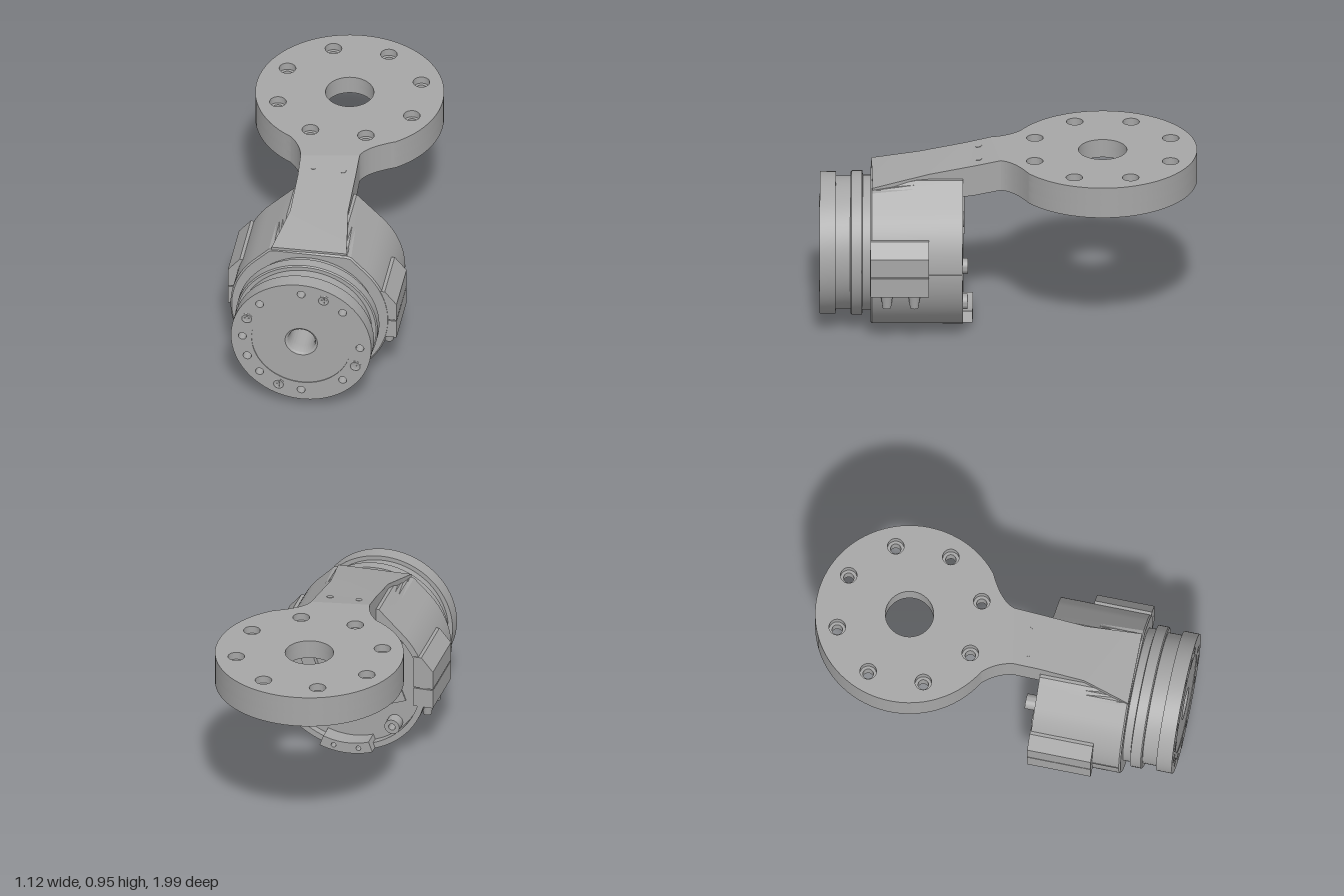
import * as THREE from 'three';
import { toCreasedNormals } from 'three/addons/utils/BufferGeometryUtils.js';

const rad = THREE.MathUtils.degToRad;
const crease = (g) => toCreasedNormals(g, 0.5);

// Joins closed rings of [x, y, z] points, each ring counter-clockwise seen from +z
function skin(rings) {
  const pos = [], n = rings[0].length;
  for (let r = 0; r < rings.length - 1; r++) {
    for (let i = 0; i < n; i++) {
      const j = (i + 1) % n, a = rings[r], b = rings[r + 1];
      pos.push(...a[i], ...b[i], ...b[j], ...a[i], ...b[j], ...a[j]);
    }
  }
  const g = new THREE.BufferGeometry();
  g.setAttribute('position', new THREE.Float32BufferAttribute(pos, 3));
  return crease(g);
}

// Lathe turned so its axis is z; points are [radius, z]
function turned(points, segs = 72) {
  const g = new THREE.LatheGeometry(points.map(([r, z]) => new THREE.Vector2(r, z)), segs);
  return crease(g.rotateX(Math.PI / 2));
}

const circle = (x, y, r) => new THREE.Path().absarc(x, y, r, 0, Math.PI * 2, false);

function extrude(shape, depth, curveSegments = 32) {
  return crease(new THREE.ExtrudeGeometry(shape, { depth, bevelEnabled: false, curveSegments }));
}

export function createModel() {
  const metal = new THREE.MeshStandardMaterial({ color: 0xa6a6a6 });
  metal.name = 'grey metal';
  const model = new THREE.Group();
  model.name = 'actuatorWithArm';

  const add = (parent, name, geometry, x = 0, y = 0, z = 0) => {
    const m = new THREE.Mesh(geometry, metal);
    m.name = name;
    m.position.set(x, y, z);
    parent.add(m);
    return m;
  };

  // ---- Mounting disc: stacked plates with counterbored holes and a hollow underside
  const cx = 0.07, cz = -0.513, R = 0.488;
  const discOutline = () => {
    const s = new THREE.Shape();
    const at = (deg) => [cx + R * Math.cos(rad(deg)), cz + R * Math.sin(rad(deg))];
    s.moveTo(0.12, 0.03);
    s.quadraticCurveTo(0.15, -0.04, ...at(61));
    s.absarc(cx, cz, R, rad(61), rad(129), true);
    s.quadraticCurveTo(-0.185, -0.06, -0.185, 0.03);
    s.closePath();
    return s;
  };
  const discLayer = (name, top, depth, centre, bolt) => {
    const s = discOutline();
    s.holes.push(circle(cx, cz, centre));
    if (bolt) {
      for (let i = 0; i < 8; i++) {
        const a = rad(-12.6 + 45 * i);
        s.holes.push(circle(cx + 0.38 * Math.cos(a), cz + 0.38 * Math.sin(a), bolt));
      }
    }
    add(model, name, extrude(s, depth).rotateX(Math.PI / 2), 0, top, 0);
  };
  discLayer('discTopPlate', 0.95, 0.04, 0.125, 0.043);
  discLayer('discLowerPlate', 0.91, 0.06, 0.125, 0.027);
  discLayer('discRim', 0.85, 0.068, 0.448, 0);

  // ---- Sloping arm from the housing up to the disc
  const section = (xl, zl, xr, zr, top, bottom) =>
    [[xr, bottom, zr], [xr, top, zr], [xl, top, zl], [xl, bottom, zl]];
  const arm = [
    section(-0.336, 0.63, 0.05, 0.69, 0.812, 0.72),
    section(-0.24, 0.4, 0.06, 0.4, 0.873, 0.72),
    section(-0.2, 0.16, 0.1, 0.16, 0.922, 0.755),
    section(-0.185, 0.03, 0.12, 0.03, 0.95, 0.782),
  ];
  const cap = (ring) => ring.map(() => [0, 1, 2].map((k) => ring.reduce((t, p) => t + p[k], 0) / 4));
  add(model, 'arm', skin([cap(arm[0]), ...arm, cap(arm[3])]));
  for (const [x, z] of [[-0.12, 0.105], [0.033, 0.13]]) {
    const pin = add(model, 'armPin', new THREE.CylinderGeometry(0.018, 0.018, 0.006, 20), x, 0.95 - 0.2 * (z - 0.02), z);
    pin.rotation.x = 0.2;
  }

  // ---- Actuator, in its own frame with the axis along z and the front face at z = 0
  const motor = new THREE.Group();
  motor.name = 'actuator';
  motor.position.set(-0.185, 0.42, 0.926);
  motor.rotation.y = rad(-10);
  model.add(motor);

  // Housing: round below, with a 45 degree roof above, cupped at the back
  const N = 120;
  const ring = (z, radius) => Array.from({ length: N }, (_, i) => {
    const a = (i / N) * Math.PI * 2, r = typeof radius === 'number' ? radius : radius(a);
    return [r * Math.cos(a), r * Math.sin(a), z];
  });
  const roof = (top, r0 = 0.417) => (a) => {
    const c = Math.abs(Math.cos(a)), s = Math.sin(a);
    return s > c - 1e-6 ? Math.min(r0 * Math.SQRT2 / (c + s), top / s) : r0;
  };
  add(motor, 'housing', skin([
    ring(-0.262, 0.3), ring(-0.262, roof(0.372, 0.409)), ring(-0.27, roof(0.38)),
    ring(-0.5, roof(0.425)), ring(-0.74, roof(0.43)), ring(-0.74, 0.385),
    ring(-0.7, 0.385), ring(-0.7, 0.066),
  ]));

  // Output flange with bolt holes around its edge
  const flange = new THREE.Shape().absarc(0, 0, 0.368, 0, Math.PI * 2, false);
  flange.holes.push(circle(0, 0, 0.26));
  const polar = (deg, r) => [r * Math.cos(rad(deg)), r * Math.sin(rad(deg))];
  for (let i = 0; i < 8; i++) flange.holes.push(circle(...polar(45 * i, 0.308), 0.021));
  flange.holes.push(circle(...polar(203.5, 0.308), 0.022));
  add(motor, 'outputFlange', extrude(flange, 0.082, 48), 0, 0, -0.082);
  add(motor, 'flangeCentre', turned([
    [0.26, -0.08], [0.26, -0.004], [0.085, -0.004], [0.074, -0.012], [0.067, -0.03], [0.065, -0.06], [0.065, -0.72],
  ]));
  add(motor, 'grooveDrum', turned([
    [0.35, -0.27], [0.35, -0.222], [0.373, -0.218], [0.373, -0.164], [0.366, -0.158],
    [0.345, -0.158], [0.345, -0.082], [0.2, -0.082],
  ]));
  for (let i = 0; i < 4; i++) {
    const [x, y] = polar(67.5 + 90 * i, 0.308);
    add(motor, 'screwHead', turned([[0.031, -0.01], [0.031, 0.001], [0.026, 0.004], [0.022, 0.002], [0, 0.002]], 24), x, y);
    add(motor, 'screwCross', new THREE.BoxGeometry(0.03, 0.008, 0.004), x, y, 0.002);
    add(motor, 'screwCross', new THREE.BoxGeometry(0.008, 0.03, 0.004), x, y, 0.002);
  }

  // Side clips, each split along the middle
  const clipHalf = (points, side, depth) => {
    const s = new THREE.Shape(points.map(([x, y]) => new THREE.Vector2(side * x, y)));
    return extrude(s, depth);
  };
  const upper = [[0.35, 0.003], [0.455, 0.003], [0.455, 0.105], [0.393, 0.18], [0.35, 0.18]];
  const lower = [[0.35, -0.108], [0.455, -0.108], [0.455, -0.003], [0.35, -0.003]];
  for (const [side, back, depth, name] of [[1, -0.565, 0.302, 'leftClip'], [-1, -0.745, 0.335, 'rightClip']]) {
    add(motor, name, clipHalf(upper, side, depth), 0, 0, back);
    add(motor, name, clipHalf(lower, side, depth), 0, 0, back);
    for (const f of [0.25, 0.72]) {
      const boss = new THREE.CylinderGeometry(0.033, 0.022, 0.085, 20);
      add(motor, 'clipScrewBoss', boss, side * 0.402, -0.145, back + depth * f);
    }
  }
  // Seam where the housing halves meet
  for (const side of [-1, 1]) add(motor, 'seam', new THREE.BoxGeometry(0.012, 0.006, 0.47), side * 0.414, 0, -0.505);

  // ---- Back: bore rim, posts, lug and circuit board parts
  add(motor, 'boreRim', turned([[0.065, -0.725], [0.08, -0.725], [0.08, -0.7]].map(([r, z]) => [r, z]), 40));
  const tube = (ro, ri, h) => {
    const s = new THREE.Shape().absarc(0, 0, ro, 0, Math.PI * 2, false);
    s.holes.push(circle(0, 0, ri));
    return extrude(s, h, 16);
  };
  for (const [x, y, back] of [[-0.24, 0.24, -0.795], [0.25, -0.22, -0.765], [-0.24, -0.24, -0.765], [0.24, 0.24, -0.745]]) {
    add(motor, 'screwPost', tube(0.04, 0.018, -0.7 - back), x, y, back);
  }
  const lug = new THREE.Shape();
  lug.absarc(0, 0, 0.415, rad(250), rad(290), false);
  lug.absarc(0, 0, 0.355, rad(290), rad(250), true);
  for (const deg of [260, 280]) lug.holes.push(circle(...polar(deg, 0.385), 0.013));
  add(motor, 'bottomLug', extrude(lug, 0.09, 20), 0, 0, -0.79);

  const board = [
    ['connector', -0.08, 0.18, 0.06, 0.1, 0.035], ['connector', -0.16, 0.14, 0.06, 0.08, 0.035],
    ['sideConnector', 0.22, 0.06, 0.07, 0.13, 0.03], ['chip', 0.03, -0.19, 0.13, 0.1, 0.02],
    ['lowerConnector', 0.12, -0.16, 0.06, 0.07, 0.035], ['flatChip', -0.24, -0.08, 0.09, 0.09, 0.008],
    ['topConnector', 0.08, 0.29, 0.16, 0.045, 0.035],
  ];
  for (const [name, x, y, w, h, d] of board) {
    const part = add(motor, name, new THREE.BoxGeometry(w, h, d), x, y, -0.7 - d / 2);
    part.rotation.z = rad(name === 'chip' || name === 'topConnector' ? 0 : -20);
  }

  return model;
}
